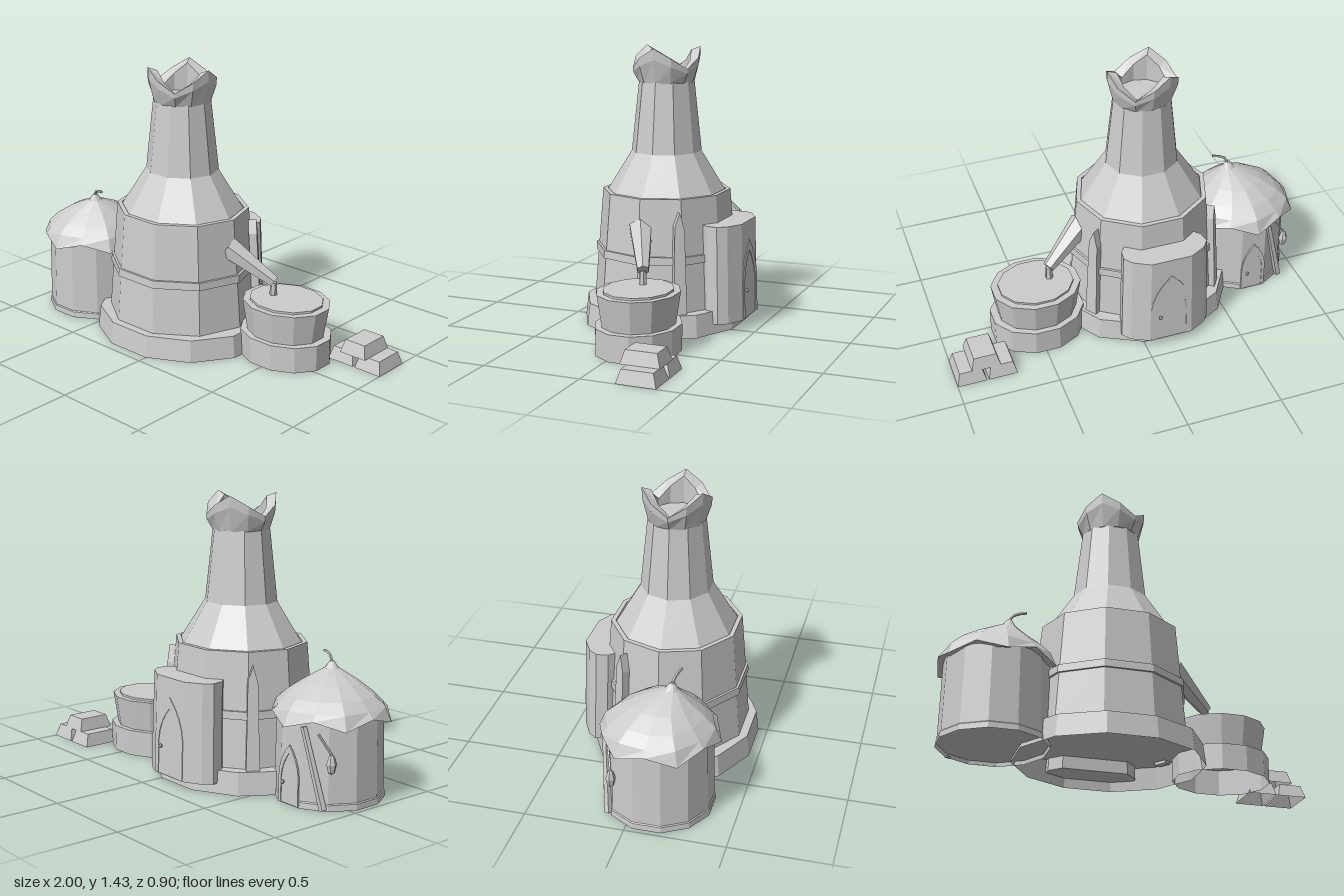
import * as THREE from 'three';

// Double sided because the footings and bars are open underneath
const stone = new THREE.MeshStandardMaterial({ color: 0xcccccc, side: THREE.DoubleSide });
stone.name = 'plainGrey';

// Faceted mesh from any geometry
function part(parent, name, geo, x = 0, y = 0, z = 0) {
  const g = geo.index ? geo.toNonIndexed() : geo;
  g.computeVertexNormals();
  const mesh = new THREE.Mesh(g, stone);
  mesh.name = name;
  mesh.position.set(x, y, z);
  parent.add(mesh);
  return mesh;
}

// Closed rings joined from row to row; fn(row, angle, index) gives a point
function loft(rows, n, fn, phase = 0) {
  const pos = [], index = [];
  for (let r = 0; r < rows; r++)
    for (let j = 0; j < n; j++) pos.push(...fn(r, phase + (j / n) * Math.PI * 2, j));
  for (let r = 0; r < rows - 1; r++)
    for (let j = 0; j < n; j++) {
      const a = r * n + j, b = r * n + ((j + 1) % n);
      index.push(a, b, b + n, a, b + n, a + n);
    }
  const g = new THREE.BufferGeometry();
  g.setAttribute('position', new THREE.Float32BufferAttribute(pos, 3));
  g.setIndex(index);
  return g;
}

// Many-sided turned form from a list of [radius, y]
const turned = (profile, n, depth = 1, phase = 0) =>
  loft(profile.length, n, (r, a) => [
    profile[r][0] * Math.cos(a), profile[r][1], -profile[r][0] * Math.sin(a) * depth], phase);
const HALF12 = Math.PI / 12;

function archPath(target, w, h) {
  target.moveTo(-w / 2, 0);
  target.lineTo(w / 2, 0);
  target.lineTo(w / 2, h * 0.5);
  target.quadraticCurveTo(w * 0.45, h * 0.78, 0, h);
  target.quadraticCurveTo(-w * 0.45, h * 0.78, -w / 2, h * 0.5);
  target.closePath();
  return target;
}

// Pointed door with a thin raised frame and a knob
function door(w, h, knobX) {
  const g = new THREE.Group();
  const frame = archPath(new THREE.Shape(), w, h);
  frame.holes.push(archPath(new THREE.Path(), w * 0.76, h * 0.86));
  const plate = (s, d) => new THREE.ExtrudeGeometry(s, { depth: d, bevelEnabled: false, curveSegments: 4 });
  part(g, 'doorFrame', plate(frame, 0.009));
  part(g, 'doorPanel', plate(archPath(new THREE.Shape(), w * 0.76, h * 0.86), 0.005));
  part(g, 'doorKnob', new THREE.SphereGeometry(0.01, 6, 5), knobX, h * 0.36, 0.014);
  return g;
}

// Small tapered bar, hollow below
function ingot(w, h, d) {
  const rows = [[1, 1, 0], [0.77, 0.8, h], [0, 0, h]];
  return loft(3, 4, (r, a) => [
    Math.sign(Math.cos(a)) * (w / 2) * rows[r][0], rows[r][2], -Math.sign(Math.sin(a)) * (d / 2) * rows[r][1]],
  Math.PI / 4);
}

// Bar running between two points
function beam(parent, name, from, to, r0, r1, sides) {
  const a = new THREE.Vector3(...from), b = new THREE.Vector3(...to);
  const m = part(parent, name, new THREE.CylinderGeometry(r1, r0, a.distanceTo(b), sides));
  m.position.copy(a).add(b).multiplyScalar(0.5);
  m.quaternion.setFromUnitVectors(new THREE.Vector3(0, 1, 0), b.sub(a).normalize());
}

function buildTower() {
  const g = new THREE.Group();
  g.name = 'tower';
  g.position.set(-0.128, 0, 0.037);
  part(g, 'towerFooting', turned([[0.48, 0], [0.465, 0.115], [0, 0.115]], 12, 0.896, HALF12));
  part(g, 'towerWall', turned([[0.402, 0.115], [0.378, 0.4], [0.353, 0.69], [0.328, 0.69],
    [0.328, 0.68], [0.193, 0.89], [0.152, 1.255], [0, 1.255]], 10, 0.94));
  part(g, 'towerBand', turned([[0.37, 0.36], [0.394, 0.36], [0.391, 0.4], [0.36, 0.4]], 10, 0.94));

  // Crown with three points
  const crown = loft(6, 12, (r, a, j) => {
    const d = Math.min(j % 4, 4 - (j % 4)) / 2;
    const top = 1.43 - 0.105 * d;
    const rad = [0.145, 0.15, 0.18, 0.182, 0.132, 0.13][r];
    const y = [1.25, 1.25, 1.25 + (top - 1.25) * 0.68, top, top - 0.018, 1.26][r];
    return [rad * Math.cos(a), y, -rad * Math.sin(a) * 0.96];
  });
  part(g, 'crown', crown);
  part(g, 'chimneyFloor', turned([[0.135, 1.27], [0, 1.27]], 12));

  // Pointed staves leaning on the back corners
  const blade = new THREE.Shape([[-0.034, 0], [0.034, 0], [0.026, 0.44], [0.003, 0.53], [-0.024, 0.46]]
    .map(([x, y]) => new THREE.Vector2(x, y)));
  for (const s of [-1, 1]) {
    const stave = new THREE.Group();
    stave.name = 'stave';
    stave.position.set(s * 0.335, 0.1, -0.207);
    stave.rotation.order = 'YXZ';
    stave.rotation.set(-0.06, Math.atan2(s * 0.81, -0.58), 0);
    part(stave, 'staveBlade', new THREE.ExtrudeGeometry(blade, { depth: 0.042, bevelEnabled: false }), 0, 0, -0.015);
    g.add(stave);
  }
  return g;
}

function buildPorch() {
  const g = new THREE.Group();
  g.name = 'porch';
  const outline = [[-0.37, 0.34], [-0.36, 0.28], [-0.3, 0.22], [0.04, 0.22], [0.1, 0.28], [0.11, 0.34],
    [0.075, 0.385], [-0.015, 0.432], [-0.245, 0.432], [-0.335, 0.385]];
  const geo = new THREE.ExtrudeGeometry(new THREE.Shape(outline.map(([x, z]) => new THREE.Vector2(x, z))),
    { depth: 0.5, bevelEnabled: false });
  geo.rotateX(-Math.PI / 2);
  const p = geo.attributes.position;
  for (let i = 0; i < p.count; i++)
    if (p.getY(i) > 0.25) p.setXYZ(i, -0.13 + (p.getX(i) + 0.13) * 0.94, p.getY(i), p.getZ(i) + 0.015);
  part(g, 'porchBlock', geo, 0, 0.05, 0);
  const d = door(0.22, 0.4, -0.06);
  d.name = 'towerDoor';
  d.position.set(-0.13, 0.052, -0.426);
  d.rotation.set(0.03, Math.PI, 0);
  g.add(d);
  return g;
}

function buildHut() {
  const g = new THREE.Group();
  g.name = 'hut';
  g.position.set(-0.715, 0, 0.105);
  part(g, 'hutWall', turned([[0.272, 0], [0.27, 0.03], [0.265, 0.035], [0.258, 0.43]], 12, 1, HALF12));
  part(g, 'hutFloor', turned([[0.268, 0.02], [0, 0.02]], 12, 1, HALF12));

  // Drooping roof with six low corners and an off-centre peak
  const prof = [[0.2, 0.43, 0], [0.294, 0.411, 0], [0.265, 0.462, 0], [0.215, 0.51, 0.05], [0.14, 0.562, 0.25],
    [0.075, 0.598, 0.6], [0.035, 0.618, 0.9], [0.012, 0.65, 1], [0, 0.652, 1]];
  part(g, 'hutRoof', loft(prof.length, 12, (r, a, j) => {
    const [rad, y, shift] = prof[r];
    const wave = j % 2 ? -1 : 1;
    const k = 1 + [0, 0.03, 0.025, 0.02, 0.01, 0, 0, 0, 0][r] * wave;
    const drop = r === 1 ? -0.021 * wave : 0;
    return [rad * k * Math.cos(a) + 0.045 * shift, y + drop, -rad * k * Math.sin(a) + 0.05 * shift];
  }, Math.PI / 6));
  const curl = new THREE.CatmullRomCurve3([[0.045, 0.64, 0.05], [0.055, 0.665, 0.055], [0.085, 0.68, 0.065],
    [0.125, 0.686, 0.075]].map((v) => new THREE.Vector3(...v)));
  part(g, 'roofStem', new THREE.TubeGeometry(curl, 6, 0.007, 5));

  // Back door, leaning pole and hanging lantern
  const d = door(0.135, 0.29, -0.035);
  d.name = 'hutDoor';
  d.position.set(0, 0.005, -0.262);
  d.rotation.set(0.015, Math.PI, 0);
  g.add(d);
  beam(g, 'leaningPole', [-0.18, 0.01, -0.212], [-0.08, 0.4, -0.248], 0.02, 0.016, 5);
  beam(g, 'lanternCord', [-0.145, 0.37, -0.215], [-0.207, 0.28, -0.188], 0.006, 0.006, 4);
  part(g, 'lantern', turned([[0, 0.185], [0.016, 0.195], [0.025, 0.235], [0.014, 0.27], [0, 0.285]], 6), -0.207, 0, -0.188);
  return g;
}

function buildVat() {
  const g = new THREE.Group();
  g.name = 'vat';
  g.position.set(0.49, 0, -0.07);
  part(g, 'vatFooting', turned([[0.25, 0], [0.25, 0.135], [0, 0.135]], 12, 0.84, HALF12));
  part(g, 'vatBowl', turned([[0.21, 0.135], [0.237, 0.297], [0.199, 0.297], [0.199, 0.308], [0, 0.308]], 12, 0.86, HALF12));
  return g;
}

export function createModel() {
  const model = new THREE.Group();
  model.name = 'smeltingTower';
  model.add(buildTower(), buildPorch(), buildHut(), buildVat());

  // Spout pouring from the tower into the vat
  const spout = new THREE.Group();
  spout.name = 'spout';
  beam(spout, 'spoutChute', [0.195, 0.54, 0.045], [0.415, 0.378, -0.062], 0.064, 0.032, 6);
  part(spout, 'spoutNozzle', new THREE.CylinderGeometry(0.017, 0.02, 0.07, 6), 0.412, 0.34, -0.06);
  model.add(spout);

  // Stacked bars
  const pile = new THREE.Group();
  pile.name = 'ingotPile';
  for (const [x, y, z] of [[0.762, 0, -0.277], [0.924, 0, -0.277], [0.843, 0.066, -0.262]])
    part(pile, 'ingot', ingot(0.152, 0.067, 0.2), x, y, z);
  model.add(pile);
  return model;
}
